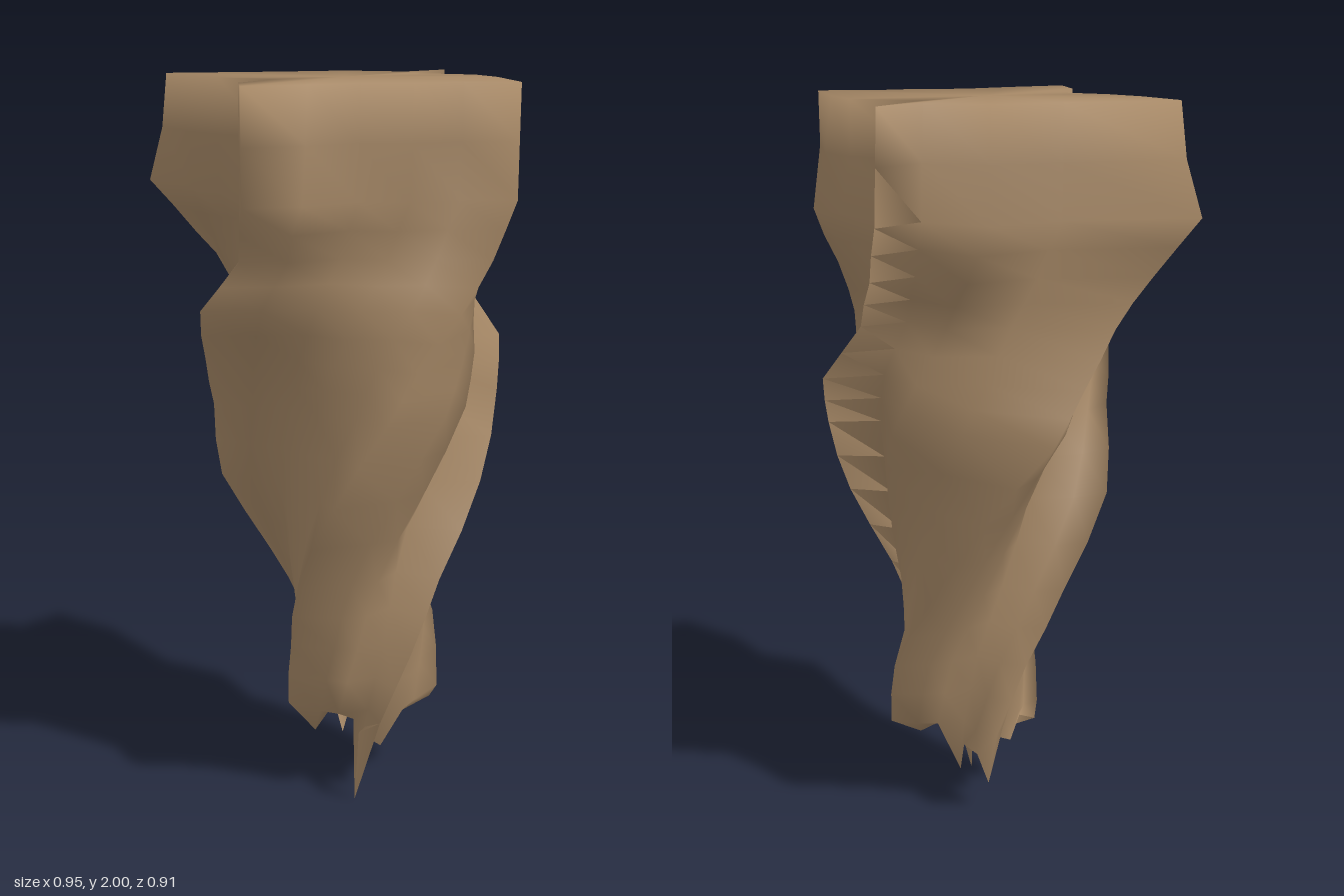
import * as THREE from 'three';

// Top outline (x, z): a square with pinched folds, clockwise seen from above
const outline = [
  [-0.43, -0.33], [-0.11, -0.335], [0.09, -0.36], [0.24, -0.26], [0.385, -0.36], [0.22, -0.17],
  [0.38, -0.04], [0.4, 0.1], [0.38, 0.37], [0.24, 0.33], [0.1, 0.36], [-0.03, 0.33],
  [-0.18, 0.38], [-0.355, 0.42], [-0.33, 0.25], [-0.215, 0.1], [-0.335, -0.03], [-0.39, -0.15],
];

// Outline positions of the four corners, each of which becomes a spiral fold
const corners = [0, 4, 8, 13, 18];

// Height, twist in degrees, centre x, centre z, then the scale of each fold
const stations = [
  [2.0, 0, 0, 0, 1, 1, 1, 1],
  [1.7, 1, 0, 0, 1.02, 1, 1, 0.97],
  [1.55, 9, 0, 0, 0.91, 0.88, 0.95, 0.82],
  [1.42, 21, 0, 0, 0.84, 0.79, 0.93, 0.9],
  [1.27, 34, 0, 0, 0.825, 0.91, 0.86, 0.76],
  [1.13, 45, 0.01, 0, 0.855, 0.82, 0.81, 0.69],
  [0.9, 66, 0.02, 0.01, 0.68, 0.69, 0.7, 0.66],
  [0.65, 92, 0.03, 0.02, 0.57, 0.54, 0.54, 0.51],
  [0.45, 114, 0.05, 0.03, 0.51, 0.47, 0.46, 0.46],
  [0.25, 134, 0.05, 0.03, 0.43, 0.42, 0.41, 0.42],
];

// Height of each point of the ragged lower hem
const hem = [0.24, 0.22, 0.14, 0.18, 0, 0.21, 0.24, 0.17, 0.22, 0.24, 0.18, 0.2, 0.08, 0.19, 0.2, 0.1, 0.24, 0.21];

// Local bulges and hollows: outline point, height, reach, amount
const bulges = [
  [0, 1.7, 0.2, 0.1], [2, 1.6, 0.25, 0.2], [6, 1.57, 0.25, 0.15], [7, 1.68, 0.25, 0.14],
  [12, 1.62, 0.2, 0.14], [2, 1.08, 0.35, 0.15], [1, 1.15, 0.3, -0.06],
  [6, 1.1, 0.4, 0.16], [7, 1.1, 0.4, 0.14],
];

// Scale of an outline point, blended between the two folds beside it
function foldScale(i, y, folds) {
  const k = corners.findIndex((c, j) => i >= c && i < corners[j + 1]);
  const t = (i - corners[k]) / (corners[k + 1] - corners[k]);
  let scale = THREE.MathUtils.lerp(folds[k], folds[(k + 1) % 4], t);
  for (const [point, height, reach, amount] of bulges) {
    if (point === i) scale *= 1 + amount * Math.max(0, 1 - Math.abs(y - height) / reach);
  }
  return scale;
}

function createModel() {
  const n = outline.length;
  const positions = [], index = [];

  const addRing = ([y, twist, cx, cz, ...folds], heights) => {
    const a = THREE.MathUtils.degToRad(twist), c = Math.cos(a), s = Math.sin(a);
    outline.forEach(([x, z], i) => {
      const r = foldScale(i, y, folds);
      positions.push(cx + r * (x * c - z * s), heights ? heights[i] : y, cz + r * (x * s + z * c));
    });
  };

  // Twisted rings, two steps between stations
  const rings = [];
  stations.forEach((s, k) => {
    rings.push(s);
    if (k < stations.length - 1) rings.push(s.map((v, j) => (v + stations[k + 1][j]) / 2));
  });
  rings.forEach((r) => addRing(r));

  // Ragged hem, left open underneath
  addRing([0.2, 150, 0.04, 0.02, 0.38, 0.31, 0.35, 0.35], hem);

  for (let k = 0; k < rings.length; k++) {
    for (let i = 0; i < n; i++) {
      const a = k * n + i, b = k * n + (i + 1) % n;
      index.push(a, b, a + n, b, b + n, a + n);
    }
  }

  // Flat top
  const centre = positions.length / 3;
  positions.push(0, 2, 0);
  for (let i = 0; i < n; i++) index.push(centre, (i + 1) % n, i);

  const geometry = new THREE.BufferGeometry();
  geometry.setAttribute('position', new THREE.Float32BufferAttribute(positions, 3));
  geometry.setIndex(index);
  geometry.computeVertexNormals();

  const cloth = new THREE.Mesh(
    geometry,
    new THREE.MeshStandardMaterial({ color: 0xa68866, side: THREE.DoubleSide })
  );
  cloth.name = 'twistedCloth';
  const group = new THREE.Group();
  group.name = 'twistedDrape';
  group.add(cloth);
  return group;
}

export { createModel };
